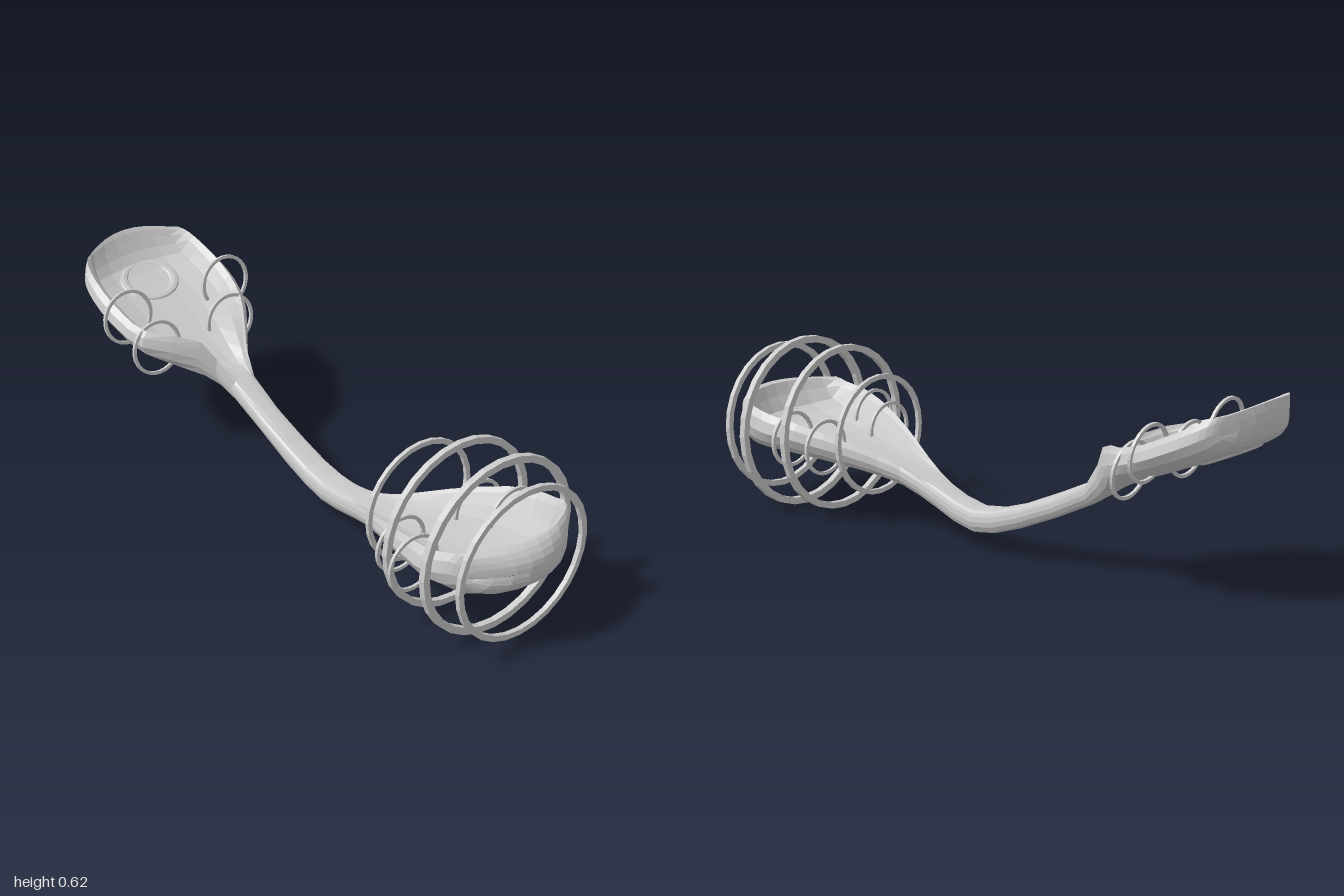
import * as THREE from 'three';

const steel = new THREE.MeshStandardMaterial({ color: 0xcccccc, flatShading: true });

// Key stations along the spoon: z, centre x, half width, underside y, rim y, inside floor y
const stations = [
  [1, 0, 0.19, 0.315, 0.315, 0.315],
  [0.997, 0, 0.2, 0.282, 0.345, 0.345],
  [0.975, 0, 0.222, 0.25, 0.378, 0.378],
  [0.945, 0, 0.237, 0.23, 0.39, 0.382],
  [0.9, 0, 0.247, 0.218, 0.376, 0.3],
  [0.8, 0, 0.252, 0.214, 0.358, 0.268],
  [0.65, 0, 0.226, 0.203, 0.33, 0.253],
  [0.48, -0.01, 0.147, 0.175, 0.272, 0.222],
  [0.34, -0.012, 0.078, 0.139, 0.212, 0.195],
  [0.2, 0.011, 0.05, 0.092, 0.158, 0.167],
  [0.03, 0.042, 0.05, 0.055, 0.123, 0.132],
  [-0.15, 0.048, 0.047, 0.102, 0.167, 0.176],
  [-0.41, 0.047, 0.047, 0.224, 0.29, 0.298],
  [-0.495, 0.032, 0.1, 0.283, 0.43, 0.328],
  [-0.61, 0.006, 0.212, 0.341, 0.463, 0.378],
  [-0.72, 0.012, 0.242, 0.386, 0.5, 0.425],
  [-0.85, 0.009, 0.246, 0.441, 0.562, 0.482],
  [-0.93, 0.006, 0.234, 0.476, 0.602, 0.525],
  [-0.97, 0.005, 0.216, 0.5, 0.622, 0.585],
  [-0.993, 0.005, 0.19, 0.53, 0.625, 0.625],
  [-1, 0.005, 0.175, 0.575, 0.575, 0.575],
];

// Insert a smooth in-between station after each key station
const smooth = stations.flatMap((s, i) => {
  const next = stations[i + 1];
  if (!next) return [s];
  const before = stations[i - 1] ?? s;
  const after = stations[i + 2] ?? next;
  return [s, s.map((v, k) => (9 * (v + next[k]) - before[k] - after[k]) / 16)];
});

// Half section: outside shell up to the rim, then inside down to the floor
const shell = [[0, 0], [0.25, 0.005], [0.5, 0.03], [0.75, 0.13], [0.93, 0.36], [1, 0.6], [0.97, 0.85], [0.9, 1]];
const inside = [[0.82, 0.2], [0.72, 0.75], [0.45, 0.95], [0.22, 1], [0, 1]];

// Sections bow backwards at their sides near both tips, which rounds the bowl ends
function section([z, cx, w, low, rim, floor]) {
  const front = z > 0;
  const bow = (front ? 0.1 : 0.06) * THREE.MathUtils.smoothstep(Math.abs(z), 0.65, 0.9);
  const drop = bow * (front ? 0.13 : 0.5);
  const half = [
    ...shell.map(([u, t]) => [u, low + t * (rim - low)]),
    ...inside.map(([u, t]) => [u, rim + t * (floor - rim)]),
  ];
  const mirrored = half.slice(1, -1).reverse().map(([u, y]) => [-u, y]);
  return [...half, ...mirrored].map(([u, y]) => [
    cx + u * w, y - drop * u * u, z - Math.sign(z) * bow * u * u,
  ]);
}

// Skin the sections into one body; both tips pinch shut to a line
function spoonGeometry() {
  const rings = smooth.map(section);
  const n = rings[0].length;
  const index = [];
  for (let i = 0; i < rings.length - 1; i++) {
    for (let j = 0; j < n; j++) {
      const a = i * n + j, b = i * n + (j + 1) % n;
      index.push(a, a + n, b + n, a, b + n, b);
    }
  }
  const g = new THREE.BufferGeometry();
  g.setAttribute('position', new THREE.Float32BufferAttribute(rings.flat(2), 3));
  g.setIndex(index);
  const flat = g.toNonIndexed();
  flat.computeVertexNormals();
  return flat;
}

// Flat wire hoop of rectangular section, slightly lower than it is wide
function hoopGeometry(radius, band, depth, sides) {
  const d = depth / 2;
  const profile = [[radius - band, -d], [radius, -d], [radius, d], [radius - band, d], [radius - band, -d]];
  return new THREE.LatheGeometry(profile.map(([x, y]) => new THREE.Vector2(x, y)), sides)
    .rotateX(Math.PI / 2)
    .scale(1, 0.965, 1);
}

export function createModel() {
  const group = new THREE.Group();
  const add = (name, geometry, x, y, z, tilt = 0) => {
    const mesh = new THREE.Mesh(geometry, steel);
    mesh.name = name;
    mesh.position.set(x, y, z);
    mesh.rotation.x = tilt;
    group.add(mesh);
  };

  add('doubleEndedSpoon', spoonGeometry(), 0, 0, 0);

  // Large hoops around the front bowl: x, y, z, outer radius, band width, depth
  const hoops = [
    [0, 0.283, 0.915, 0.253, 0.019, 0.016],
    [0.01, 0.282, 0.8, 0.292, 0.023, 0.021],
    [0.003, 0.284, 0.64, 0.281, 0.021, 0.019],
    [0, 0.284, 0.48, 0.204, 0.016, 0.013],
  ];
  for (const [x, y, z, r, band, depth] of hoops) {
    add('largeHoop', hoopGeometry(r, band, depth, 28), x, y, z);
  }

  // Small rings through the bowl edges, in pairs: right x, left x, y, z, tilt
  const ringPairs = [
    [-0.22, 0.172, 0.268, 0.7, 0],
    [-0.166, 0.142, 0.252, 0.585, 0],
    [-0.178, 0.218, 0.47, -0.722, -0.13],
    [-0.143, 0.155, 0.39, -0.617, -0.13],
  ];
  const ring = hoopGeometry(0.094, 0.011, 0.009, 28);
  for (const [rightX, leftX, y, z, tilt] of ringPairs) {
    add('rightEdgeRing', ring, rightX, y, z, tilt);
    add('leftEdgeRing', ring, leftX, y, z, tilt);
  }

  // Shallow raised circles on the inside and underside of the rear bowl
  const lip = new THREE.TorusGeometry(0.09, 0.016, 8, 32).scale(1, 0.85, 0.4).rotateX(-Math.PI / 2);
  add('innerDishRing', lip, 0.012, 0.49, -0.865, 0.42);
  add('undersideDishRing', lip, 0.012, 0.449, -0.865, 0.41);

  return group;
}
